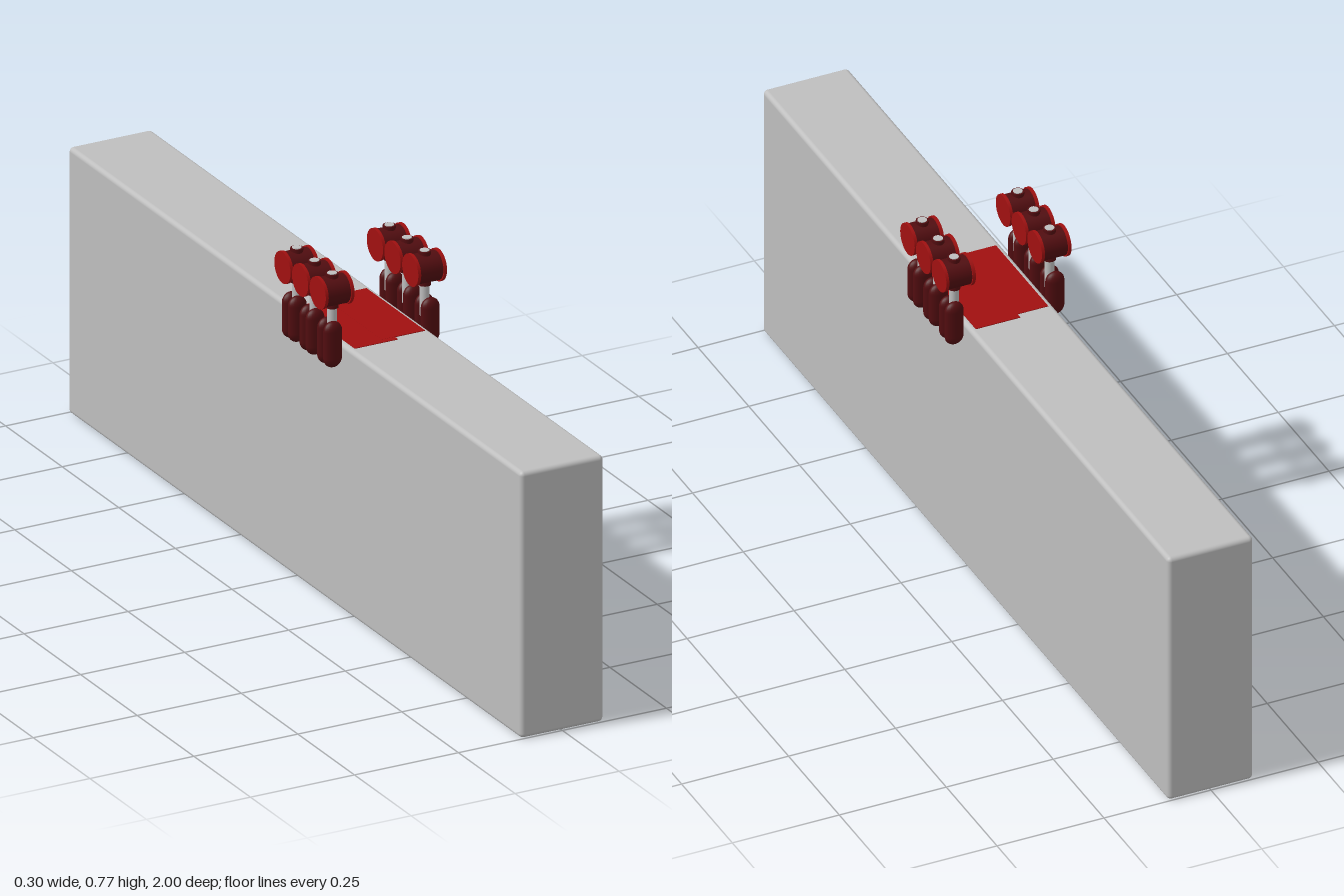
import * as THREE from 'three';
import { RoundedBoxGeometry } from 'three/addons/geometries/RoundedBoxGeometry.js';

const material = (name, color) => {
  const m = new THREE.MeshStandardMaterial({ color });
  m.name = name;
  return m;
};

export function createModel() {
  const grey = material('light grey', 0xbebebe);
  const red = material('red', 0xa01010);
  const darkRed = material('dark red', 0x520d10);

  const add = (parent, name, geometry, mat, x = 0, y = 0, z = 0) => {
    const mesh = new THREE.Mesh(geometry, mat);
    mesh.name = name;
    mesh.position.set(x, y, z);
    parent.add(mesh);
    return mesh;
  };

  const model = new THREE.Group();
  model.name = 'model';

  // Long upright slab with softened edges
  add(model, 'body', new RoundedBoxGeometry(0.2, 0.611, 2, 4, 0.01), grey, 0, 0.3055, 0);

  // Shared shapes for the mallet-like units
  const fingerGeo = new THREE.CapsuleGeometry(0.0215, 0.062, 8, 20).scale(1, 1, 0.62);
  const poleGeo = new THREE.CylinderGeometry(0.0105, 0.0105, 0.15, 16);
  const collarGeo = new THREE.CylinderGeometry(0.014, 0.014, 0.078, 16);
  const drumGeo = new THREE.CylinderGeometry(0.033, 0.033, 0.06, 24).rotateZ(Math.PI / 2);
  const rimGeo = new THREE.CylinderGeometry(0.036, 0.036, 0.007, 24).rotateZ(Math.PI / 2);

  // Two capsules at the base, a pole, and a drum lying across its top
  function createUnit() {
    const unit = new THREE.Group();
    unit.name = 'malletUnit';
    for (const dz of [-0.0133, 0.0133]) add(unit, 'baseCapsule', fingerGeo, darkRed, 0.121, 0.6145, dz);
    add(unit, 'pole', poleGeo, grey, 0.115, 0.698, 0);
    add(unit, 'collar', collarGeo, darkRed, 0.115, 0.7325, 0);
    add(unit, 'drum', drumGeo, darkRed, 0.115, 0.7325, 0);
    for (const dx of [-0.031, 0.031]) add(unit, 'drumRim', rimGeo, red, 0.115 + dx, 0.7325, 0);
    return unit;
  }

  // Three units and one top plate on each side, the two sides slightly staggered
  for (const side of [1, -1]) {
    const z = side > 0 ? 0.102 : 0.116;
    for (let i = -1; i <= 1; i++) {
      const unit = createUnit();
      unit.position.z = z + i * 0.078;
      if (side < 0) unit.rotation.y = Math.PI;
      model.add(unit);
    }
    const top = side > 0 ? 0.6125 : 0.6122;
    add(model, side > 0 ? 'leftPlate' : 'rightPlate',
      new THREE.BoxGeometry(0.104, 0.004, 0.258), red, side * 0.036, top - 0.002, z);
  }

  return model;
}
